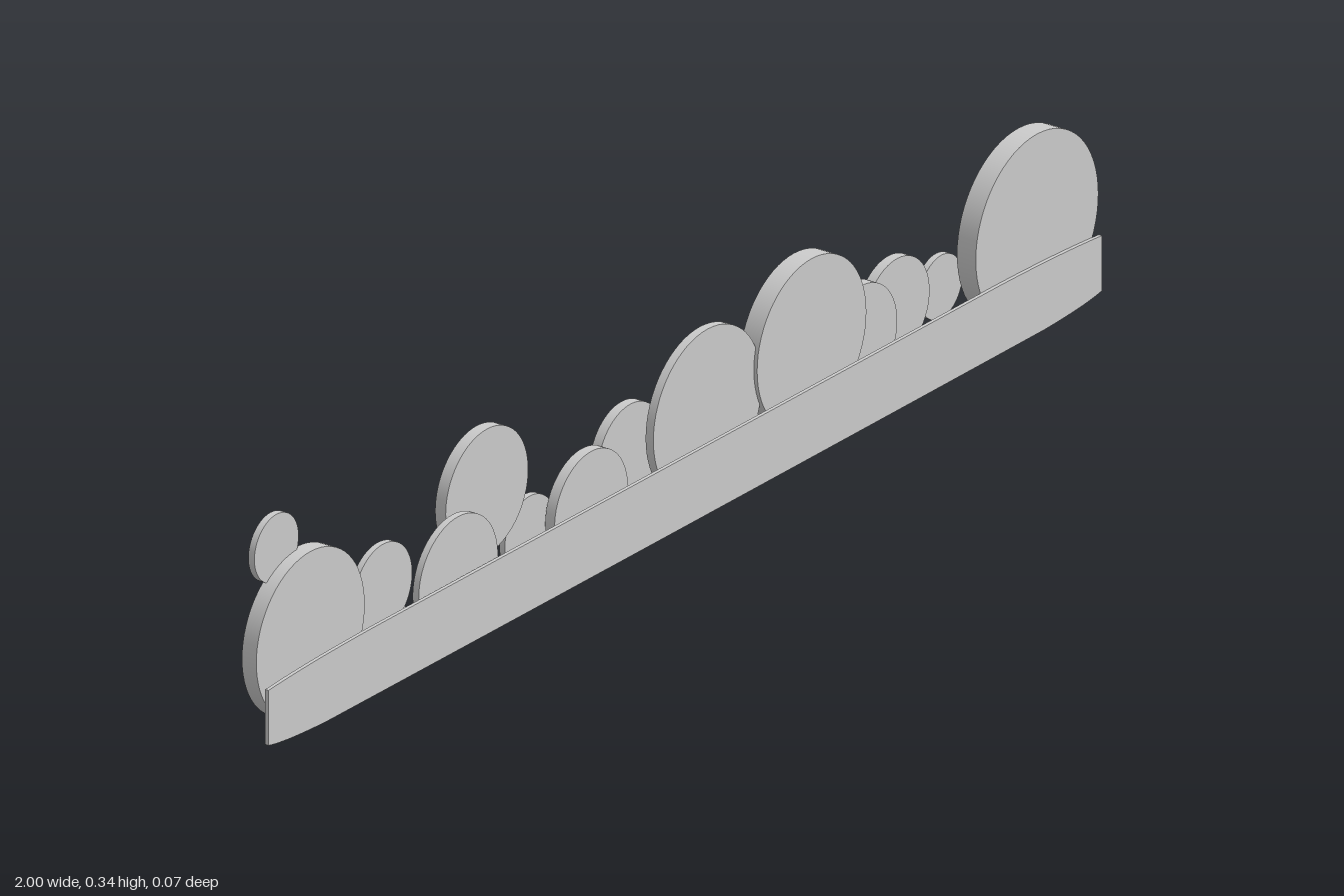
import * as THREE from 'three';

const material = new THREE.MeshStandardMaterial({ color: 0xcccccc });

// Upright disc: centre x, centre y, radius, back z, front z
function disc(name, [x, y, r, z0, z1]) {
  const geo = new THREE.CylinderGeometry(r, r, z1 - z0, 64);
  geo.rotateX(Math.PI / 2);
  const mesh = new THREE.Mesh(geo, material);
  mesh.position.set(x, y, (z0 + z1) / 2);
  mesh.name = name;
  return mesh;
}

export function createModel() {
  const group = new THREE.Group();
  group.name = 'bushRow';

  // Thin front strip with softly curved ends
  const s = new THREE.Shape();
  s.moveTo(-1, 0.013);
  s.quadraticCurveTo(-0.96, 0.004, -0.86, 0.001);
  s.quadraticCurveTo(0, -0.001, 0.86, 0.001);
  s.quadraticCurveTo(0.96, 0.004, 1, 0.013);
  s.lineTo(1, 0.1);
  s.quadraticCurveTo(0.9, 0.108, 0.75, 0.109);
  s.lineTo(-0.75, 0.109);
  s.quadraticCurveTo(-0.9, 0.108, -1, 0.1);
  s.closePath();
  const stripGeo = new THREE.ExtrudeGeometry(s, { depth: 0.006, bevelEnabled: false, curveSegments: 12 });
  stripGeo.translate(0, 0, 0.03);
  const strip = new THREE.Mesh(stripGeo, material);
  strip.name = 'frontStrip';
  group.add(strip);

  // Overlapping foliage discs, from right (-x) to left (+x)
  const discs = [
    [-0.925, 0.287, 0.053, -0.017, -0.006],
    [-0.87, 0.137, 0.13, -0.012, 0.014],
    [-0.68, 0.137, 0.07, -0.008, 0.002],
    [-0.655, 0.06, 0.043, -0.012, -0.002],
    [-0.53, 0.108, 0.095, 0.014, 0.025],
    [-0.432, 0.201, 0.099, -0.016, 0.003],
    [-0.325, 0.095, 0.06, -0.01, 0.0],
    [-0.207, 0.101, 0.088, 0.005, 0.022],
    [-0.06, 0.123, 0.077, -0.034, -0.018],
    [0.088, 0.143, 0.13, -0.004, 0.01],
    [0.33, 0.168, 0.131, -0.016, 0.016],
    [0.453, 0.125, 0.086, -0.008, 0.013],
    [0.58, 0.122, 0.078, -0.034, -0.018],
    [0.69, 0.115, 0.05, -0.031, -0.021],
    [0.852, 0.165, 0.147, -0.004, 0.03],
  ];
  discs.forEach((d, i) => group.add(disc('foliageDisc' + (i + 1), d)));

  return group;
}
